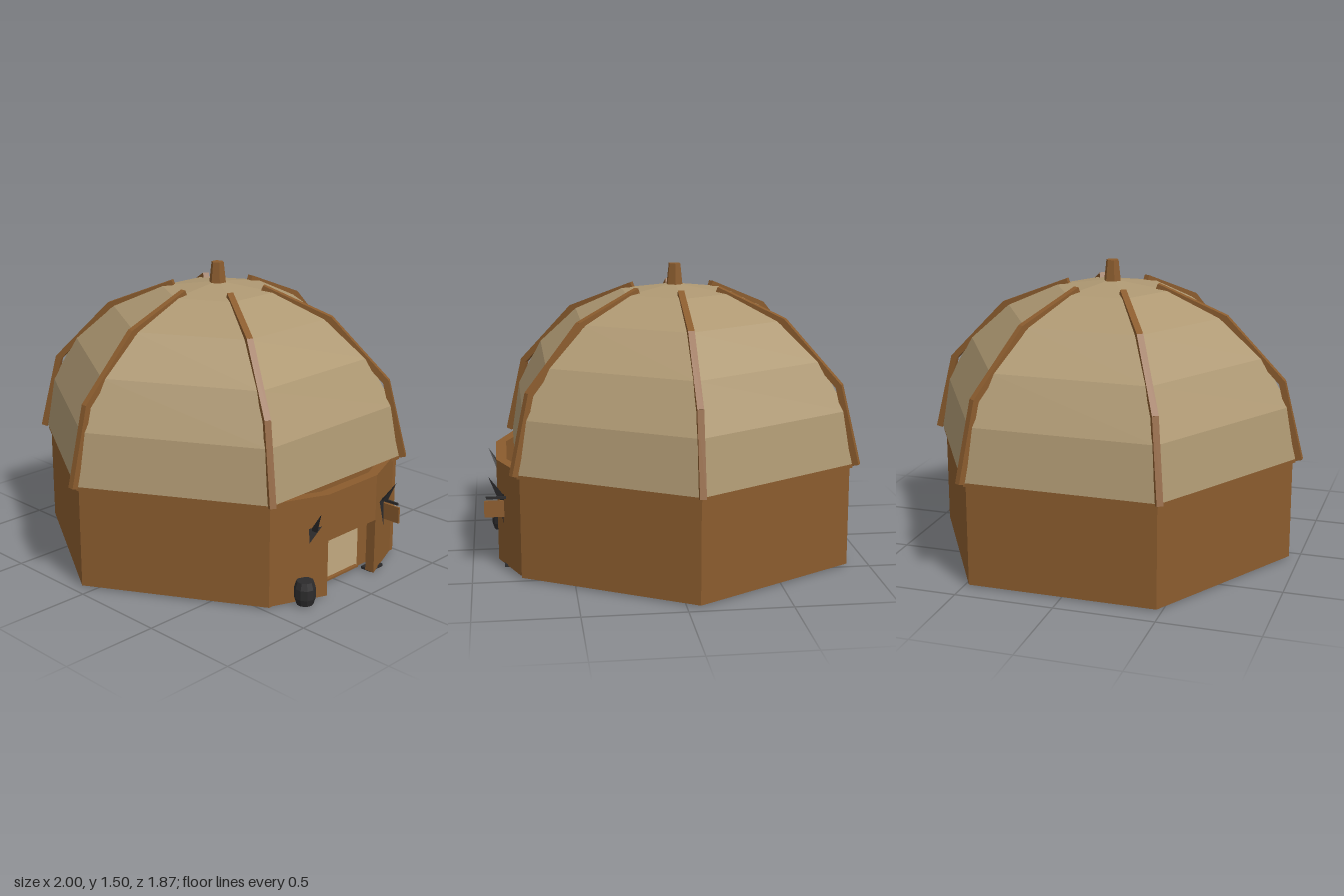
import * as THREE from 'three';

const mat = (name, color, side = THREE.FrontSide) =>
  Object.assign(new THREE.MeshStandardMaterial({ color, side }), { name });

export function createModel() {
  const root = new THREE.Group();
  root.name = 'domedHut';
  const wood = mat('brown wood', 0x8b5c2e, THREE.DoubleSide);
  const canvas = mat('tan canvas', 0xae9872, THREE.DoubleSide);
  const iron = mat('black iron', 0x2c2b2c, THREE.DoubleSide);
  const stone = mat('grey stone', 0x4b4346);

  // Faceted mesh helper
  const add = (parent, name, geo, material, x = 0, y = 0, z = 0) => {
    const g = geo.index ? geo.toNonIndexed() : geo;
    g.computeVertexNormals();
    const m = new THREE.Mesh(g, material);
    m.name = name;
    m.position.set(x, y, z);
    parent.add(m);
    return m;
  };
  const box = (parent, name, material, w, h, d, x, y, z) =>
    add(parent, name, new THREE.BoxGeometry(w, h, d), material, x, y, z);

  // Hexagonal body, set slightly back to leave room for the porch
  const body = new THREE.Group();
  body.name = 'body';
  body.position.z = -0.065;
  root.add(body);

  const R = 0.95, apothem = R * Math.cos(Math.PI / 6), y0 = 0.01, y1 = 0.54;
  for (let i = 0; i < 6; i++) {
    const s = new THREE.Shape();
    s.moveTo(-R / 2, y0);
    if (i === 0) { // doorway in the front wall
      s.lineTo(-0.18, y0);
      s.lineTo(-0.18, 0.3);
      s.lineTo(0.18, 0.3);
      s.lineTo(0.18, y0);
    }
    s.lineTo(R / 2, y0);
    s.lineTo(R / 2, y1);
    s.lineTo(-R / 2, y1);
    const g = new THREE.ShapeGeometry(s);
    g.translate(0, 0, apothem);
    g.rotateY(i * Math.PI / 3);
    add(body, i === 0 ? 'frontWall' : 'wall', g, wood);
  }
  const floor = new THREE.CircleGeometry(R, 6);
  floor.rotateX(-Math.PI / 2);
  add(body, 'floor', floor, canvas, 0, 0.012, 0);

  // Eave trim under the dome
  add(body, 'eaveTrim',
    new THREE.CylinderGeometry(0.965, 0.965, 0.02, 6, 1, false, Math.PI / 2), wood, 0, 0.529, 0);

  // Six-sided dome in five bands
  const profile = [];
  for (let i = 0; i <= 5; i++) {
    const t = i * Math.PI / 10;
    profile.push(new THREE.Vector2(Math.max(0.97 * Math.cos(t), 0.0001), 0.54 + 0.86 * Math.sin(t)));
  }
  add(body, 'domeRoof', new THREE.LatheGeometry(profile, 6, Math.PI / 2), canvas);

  // Roof ribs along the dome corners
  const ribPath = [[0.983, 0.54], [0.885, 0.93], [0.588, 1.236], [0.24, 1.375]];
  for (let k = 0; k < 6; k++) {
    const rib = new THREE.Group();
    rib.name = 'roofRib';
    rib.rotation.y = k * Math.PI / 3;
    body.add(rib);
    for (let i = 0; i < 3; i++) {
      const [ax, ay] = ribPath[i], [bx, by] = ribPath[i + 1];
      const beam = box(rib, 'ribBeam', wood, Math.hypot(bx - ax, by - ay) + 0.008, 0.032, 0.032,
        (ax + bx) / 2, (ay + by) / 2, 0);
      beam.rotation.z = Math.atan2(by - ay, bx - ax);
    }
  }
  add(body, 'finial',
    new THREE.CylinderGeometry(0.032, 0.045, 0.115, 6, 1, false, Math.PI / 2), wood, 0, 1.4425, 0);

  // Porch walls: plan outlines (x, z) raised between two heights
  const raise = (name, plan, bottom, top) => {
    const s = new THREE.Shape(plan.map(([x, z]) => new THREE.Vector2(x, -z)));
    const g = new THREE.ExtrudeGeometry(s, { depth: top - bottom, bevelEnabled: false });
    g.rotateX(-Math.PI / 2);
    add(root, name, g, wood, 0, bottom, 0);
  };
  for (const s of [-1, 1]) {
    raise('porchSide',
      [[s * 0.45, 0.758], [s * 0.18, 0.868], [s * 0.18, 0.815], [s * 0.31, 0.758]], y0, y1);
  }
  raise('porchLintel', [[-0.18, 0.868], [0.18, 0.868], [0.18, 0.815], [-0.18, 0.815]], 0.3, y1);

  // Workbench and rack inside the doorway
  const bench = new THREE.Group();
  bench.name = 'workbench';
  root.add(bench);
  box(bench, 'benchBlock', stone, 0.3, 0.165, 0.2, 0.03, 0.1, 0.4);
  box(bench, 'benchBack', wood, 0.3, 0.06, 0.02, 0.03, 0.21, 0.35);
  box(bench, 'rackPost', iron, 0.05, 0.27, 0.05, -0.15, 0.15, 0.6);
  box(bench, 'rackBar', iron, 0.3, 0.014, 0.02, 0.03, 0.25, 0.6);
  for (let i = 0; i < 3; i++)
    box(bench, 'rackPeg', wood, 0.01, 0.04, 0.01, -0.07 + i * 0.11, 0.275, 0.6);

  // Pointed iron brackets either side of the door
  const blade = (parent, pts) => {
    const g = new THREE.BufferGeometry();
    g.setAttribute('position', new THREE.Float32BufferAttribute(pts.flat(), 3));
    add(parent, 'bracketBlade', g, iron);
  };
  for (const s of [-1, 1]) {
    const bracket = new THREE.Group();
    bracket.name = 'wallBracket';
    root.add(bracket);
    const low = s > 0 ? 0.225 : 0.31;
    blade(bracket, [[s * 0.29, 0.48, 0.91], [s * 0.235, 0.37, 0.845], [s * 0.27, 0.37, 0.84]]);
    blade(bracket, [[s * 0.285, 0.48, 0.91], [s * 0.265, 0.37, 0.87], [s * 0.27, 0.37, 0.83]]);
    blade(bracket, [[s * 0.22, 0.385, 0.86], [s * 0.285, 0.385, 0.835], [s * 0.285, low, 0.84]]);
  }

  // Hanging sign board on the left of the door
  const sign = new THREE.Group();
  sign.name = 'hangingSign';
  root.add(sign);
  box(sign, 'signBoard', wood, 0.01, 0.085, 0.1, 0.285, 0.312, 0.885);
  box(sign, 'signArm', iron, 0.01, 0.012, 0.1, 0.285, 0.37, 0.875);

  // Barrel by the door
  const barrel = [[0.0001, 0], [0.042, 0], [0.053, 0.035], [0.053, 0.085], [0.042, 0.12], [0.0001, 0.12]]
    .map(([r, y]) => new THREE.Vector2(r, y));
  add(root, 'barrel', new THREE.LatheGeometry(barrel, 10), iron, -0.32, 0.012, 0.848);

  // Ground slab and door sill
  box(root, 'groundSlab', iron, 0.1, 0.014, 0.06, 0.24, 0.009, 0.81);
  box(root, 'doorSill', wood, 0.36, 0.01, 0.02, 0, 0.015, 0.757);

  return root;
}
